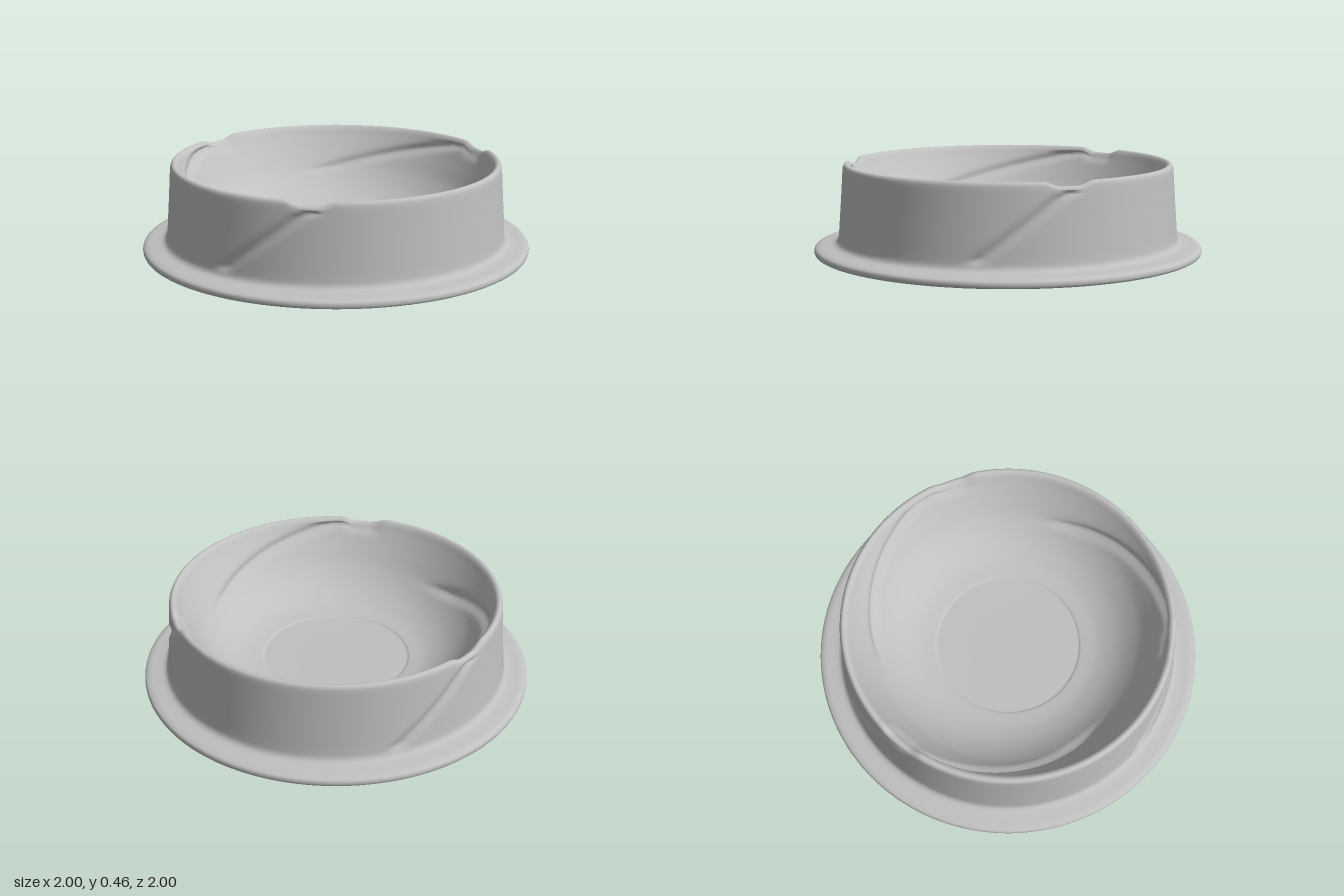
import * as THREE from 'three';
import { mergeVertices } from 'three/addons/utils/BufferGeometryUtils.js';

const SEGMENTS = 400;
const DEG = Math.PI / 180;
const NOTCHES = [100, 220, 340].map((a) => a * DEG); // angle from +x towards +z
const smooth = THREE.MathUtils.smoothstep;

// Sample a smooth curve through [radius, height] pairs
const spline = (pairs, n) =>
  new THREE.SplineCurve(pairs.map(([r, y]) => new THREE.Vector2(r, y))).getSpacedPoints(n);

// Signed angle difference in -PI..PI
const wrap = (a) => Math.atan2(Math.sin(a), Math.cos(a));

// Revolve a profile; deform(r, y, angle, pointIndex) returns the new [r, y]
function revolve(points, deform) {
  const geo = new THREE.LatheGeometry(points, SEGMENTS);
  geo.deleteAttribute('uv');
  geo.deleteAttribute('normal');
  const p = geo.attributes.position;
  for (let i = 0; i < p.count; i++) {
    const x = p.getX(i), z = p.getZ(i);
    const angle = Math.atan2(z, x);
    const [r, y] = deform(Math.hypot(x, z), p.getY(i), angle, i % points.length);
    p.setXYZ(i, r * Math.cos(angle), y, r * Math.sin(angle));
  }
  const merged = mergeVertices(geo, 1e-5);
  merged.computeVertexNormals();
  return merged;
}

export function createModel() {
  const group = new THREE.Group();
  const grey = new THREE.MeshStandardMaterial({ color: 0xc0c0c0 });
  grey.name = 'light grey';
  const add = (name, geometry) => {
    const mesh = new THREE.Mesh(geometry, grey);
    mesh.name = name;
    group.add(mesh);
  };

  // Flange edge, flange top and outer wall
  const outer = [
    ...spline([[0.985, 0], [0.997, 0.006], [1, 0.02], [0.995, 0.034], [0.975, 0.043]], 10),
    ...spline([[0.965, 0.045], [0.92, 0.05], [0.892, 0.057], [0.878, 0.075], [0.873, 0.11]], 12),
    ...spline([[0.872, 0.12], [0.86, 0.28], [0.85, 0.43]], 22),
  ];
  // Rounded rim, dish and flat floor with a fine edge
  const inner = [
    ...spline([[0.848, 0.444], [0.842, 0.457], [0.83, 0.463], [0.817, 0.457], [0.806, 0.443]], 12),
    ...spline([[0.802, 0.436], [0.785, 0.405], [0.735, 0.325], [0.67, 0.235], [0.58, 0.155],
      [0.48, 0.104], [0.39, 0.084]], 48),
    ...spline([[0.383, 0.083], [0.377, 0.078], [0.37, 0.077]], 3),
    new THREE.Vector2(0.18, 0.077),
    new THREE.Vector2(0, 0.077),
  ];

  add('dishAndSkirt', revolve([...outer, ...inner], (r, y, angle, j) => {
    let r2 = r, y2 = y;
    for (const notch of NOTCHES) {
      const da = wrap(angle - notch);
      // Shallow dip in the rim
      y2 -= 0.024 * (1 - smooth(Math.abs(da), 0.05, 0.16)) * smooth(y, 0.37, 0.45);
      if (j < outer.length) {
        // Slanted groove down the outer wall
        const path = 31 * DEG * (0.43 - y) / 0.35;
        const d = (da - path) * r * 0.6;
        r2 -= 0.016 * Math.exp(-((d / 0.024) ** 2)) * smooth(y, 0.075, 0.11);
      } else {
        // Spiral groove down the dish
        const path = -(11 + 62 * (0.43 - y) / 0.2) * DEG;
        const d = wrap(da - path) * r * 0.3;
        const fade = smooth(y, 0.21, 0.25) * (1 - smooth(y, 0.425, 0.445));
        r2 += 0.025 * Math.exp(-((d / (d > 0 ? 0.02 : 0.035)) ** 2)) * fade;
      }
    }
    return [r2, y2];
  }));

  // Hollow underside: dish bottom, inner skirt wall and flange bottom
  const under = [
    new THREE.Vector2(0, 0.046),
    new THREE.Vector2(0.2, 0.046),
    ...spline([[0.38, 0.046], [0.49, 0.06], [0.6, 0.112], [0.7, 0.195], [0.765, 0.28],
      [0.8, 0.345], [0.813, 0.36], [0.823, 0.345]], 24),
    ...spline([[0.824, 0.335], [0.832, 0.22], [0.842, 0.1]], 6),
    ...spline([[0.844, 0.08], [0.85, 0.045], [0.87, 0.026], [0.9, 0.02], [0.945, 0.015],
      [0.962, 0.003], [0.985, 0]], 16),
  ];
  add('underside', revolve(under, (r, y) => [r, y]));

  return group;
}
